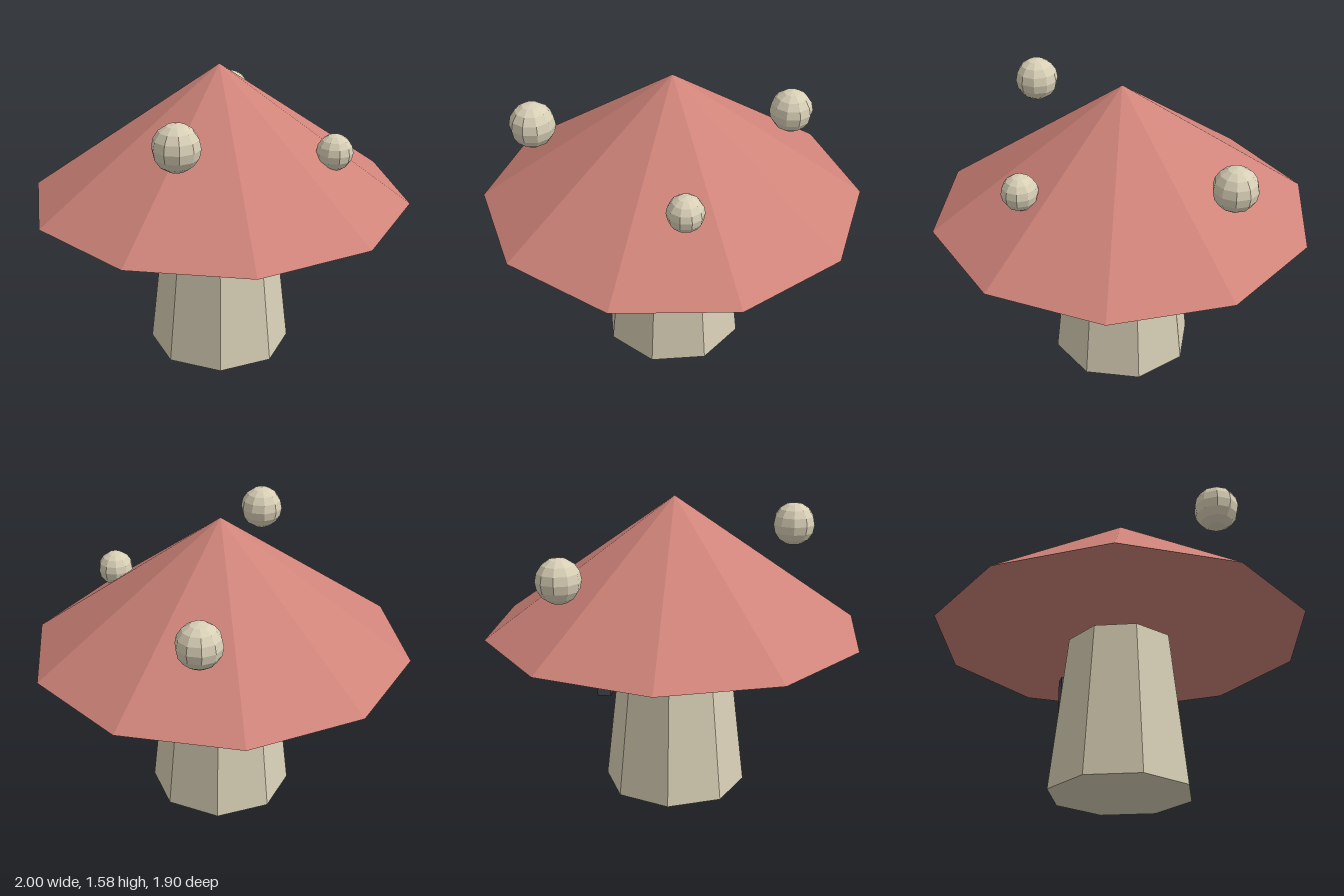
import * as THREE from 'three';

const flat = (color) => new THREE.MeshStandardMaterial({ color, flatShading: true });

export function createModel() {
  const group = new THREE.Group();
  const red = flat(0xd0847a);
  const cream = flat(0xd8cfb6);
  const dark = flat(0x45454f);

  const add = (name, geometry, material, x, y, z) => {
    const mesh = new THREE.Mesh(geometry, material);
    mesh.name = name;
    mesh.position.set(x, y, z);
    group.add(mesh);
    return mesh;
  };

  // Tapered eight-sided stem
  add('stem', new THREE.CylinderGeometry(0.285, 0.38, 0.83, 8), cream, 0, 0.415, 0);

  // Ten-sided cap with corners on the x axis, floating just above the stem
  const cap = add('cap', new THREE.ConeGeometry(1, 0.71, 10), red, 0, 1.225, 0);
  cap.rotation.y = Math.PI / 2;

  // Round spots on the cap: x, y, z, radius
  const spots = [
    [0.33, 1.375, 0.618, 0.116],
    [-0.43, 1.23, -0.527, 0.116],
    [0.57, 1.187, -0.24, 0.093],
  ];
  spots.forEach(([x, y, z, r], i) =>
    add(`spot${i + 1}`, new THREE.SphereGeometry(r, 10, 8), cream, x, y, z));

  // Pair of block eyes at the back of the stem
  for (const side of [-1, 1]) {
    add(side > 0 ? 'leftEye' : 'rightEye',
      new THREE.BoxGeometry(0.12, 0.185, 0.07), dark, side * 0.19, 0.657, -0.345);
  }
  return group;
}
